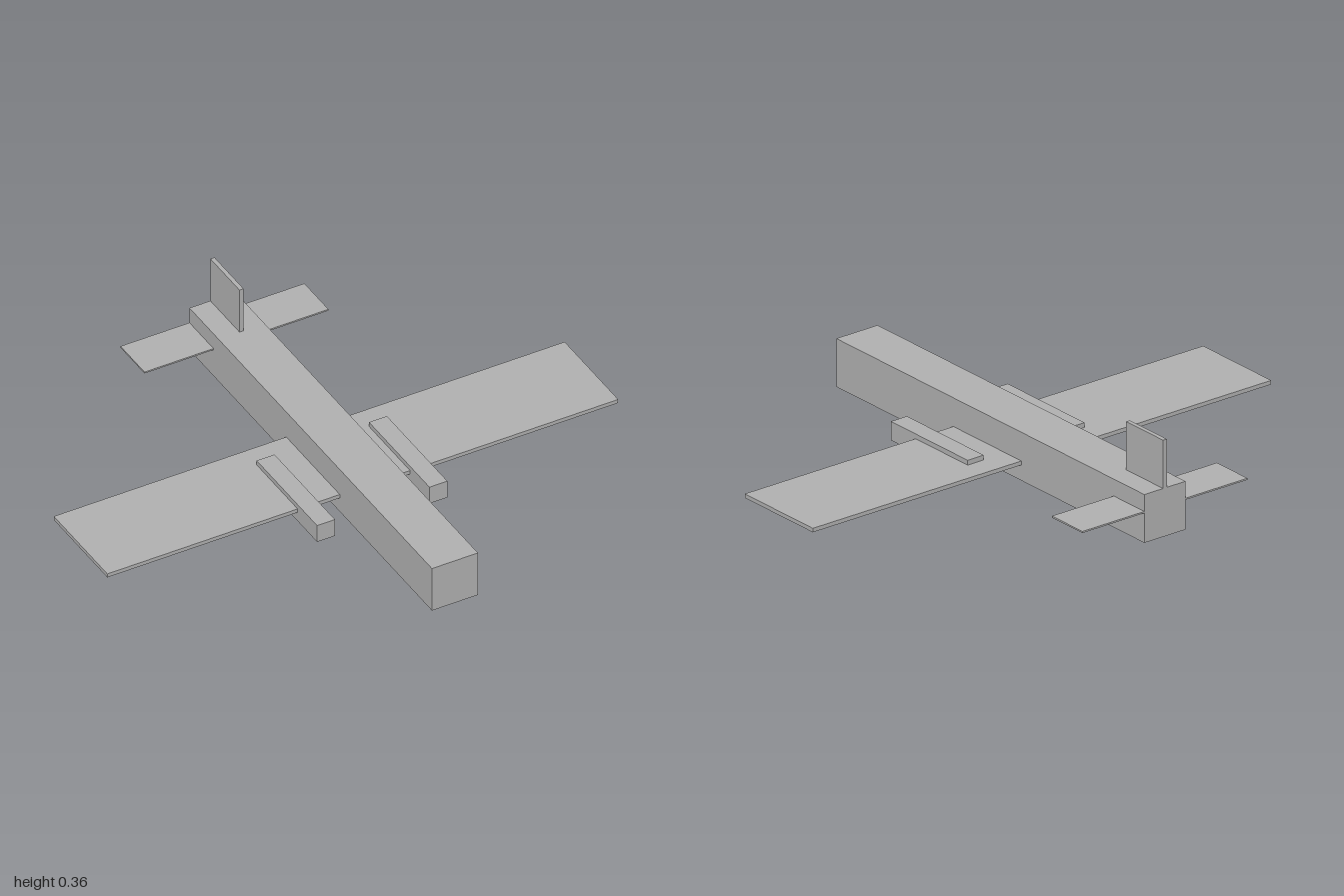
import * as THREE from 'three';

export function createModel() {
  const model = new THREE.Group();
  const grey = new THREE.MeshStandardMaterial({ color: 0xb0b0b0 });
  grey.name = 'plain grey';

  // Box given by its extents along each axis
  function block(name, [x0, x1], [y0, y1], [z0, z1]) {
    const mesh = new THREE.Mesh(new THREE.BoxGeometry(x1 - x0, y1 - y0, z1 - z0), grey);
    mesh.position.set((x0 + x1) / 2, (y0 + y1) / 2, (z0 + z1) / 2);
    mesh.name = name;
    model.add(mesh);
  }

  // Body
  block('fuselage', [-0.09, 0.09], [0, 0.18], [-0.842, 0.842]);

  // Flying surfaces
  block('wing', [-1, 1], [0.058, 0.073], [-0.17, 0.202]);
  block('tailplane', [-0.36, 0.36], [0.111, 0.117], [-0.842, -0.675]);
  block('tailFin', [-0.008, 0.008], [0.17, 0.36], [-0.842, -0.64]);

  // Engine pods under each wing
  block('leftEngine', [0.185, 0.255], [0.021, 0.091], [-0.083, 0.337]);
  block('rightEngine', [-0.255, -0.185], [0.021, 0.091], [-0.083, 0.337]);

  return model;
}
